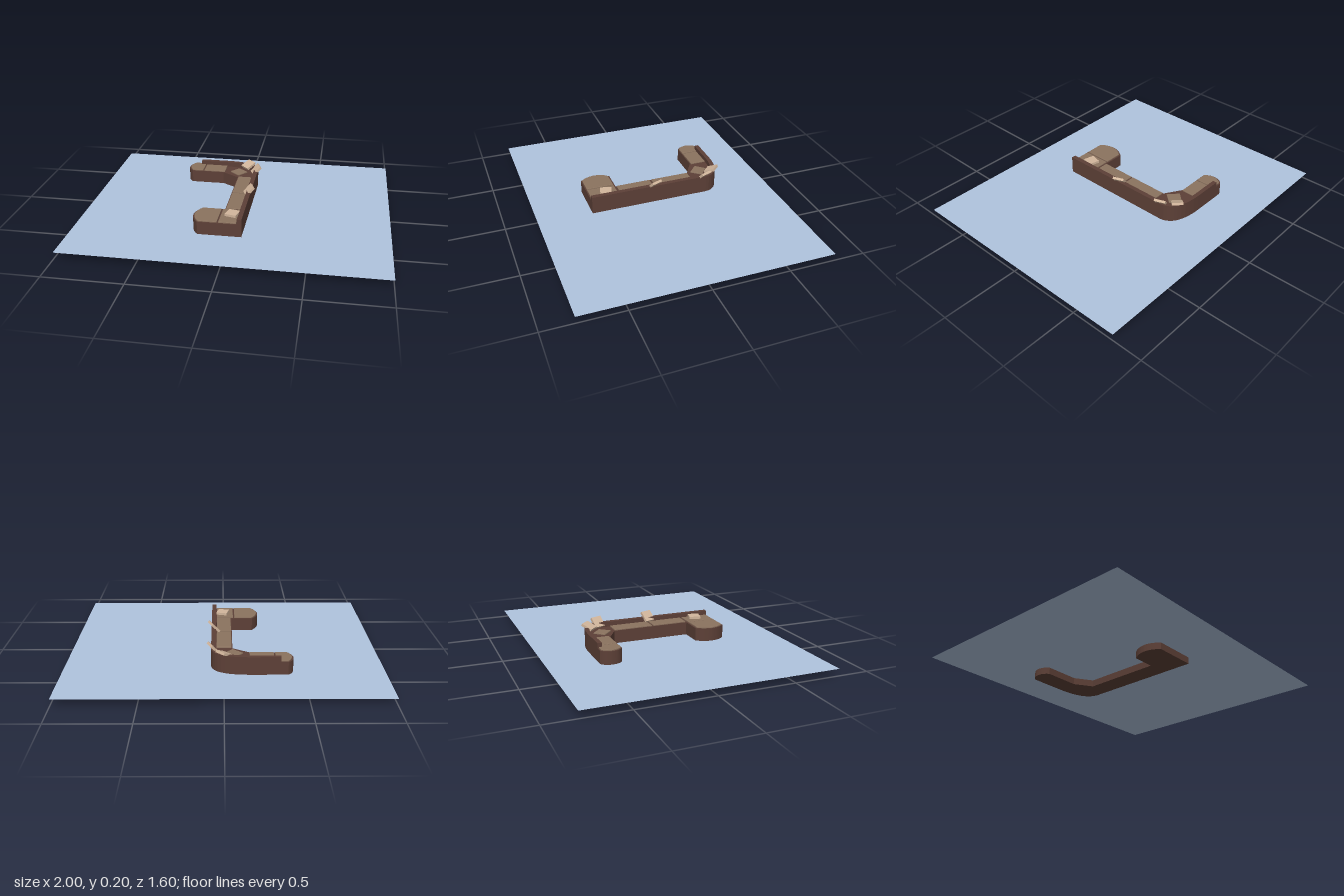
import * as THREE from 'three';

const BROWN = 0x5d4037, SEAT = 0x8b735f, PILLOW = 0xd2b69c, FLOOR = 0xb0c4de;

const mat = (color) => new THREE.MeshStandardMaterial({ color, side: THREE.DoubleSide });

// Shape from plan points [x, z]; a point [x, z, cx, cz] arrives on a curve with control (cx, cz)
function plan(points) {
  const s = new THREE.Shape();
  points.forEach(([x, z, cx, cz], i) => {
    if (i === 0) s.moveTo(x, -z);
    else if (cx !== undefined) s.quadraticCurveTo(cx, -cz, x, -z);
    else s.lineTo(x, -z);
  });
  return s;
}

// Vertical prism over a plan outline, optionally with softened edges
function slab(name, points, y0, y1, color, bevel = 0) {
  const geo = new THREE.ExtrudeGeometry(plan(points), {
    depth: y1 - y0 - 2 * bevel, curveSegments: 10, bevelEnabled: bevel > 0,
    bevelSize: bevel, bevelThickness: bevel, bevelOffset: -bevel, bevelSegments: 2,
  });
  geo.rotateX(-Math.PI / 2);
  geo.translate(0, y0 + bevel, 0);
  const mesh = new THREE.Mesh(geo, mat(color));
  mesh.name = name;
  return mesh;
}

const rect = (x0, x1, z0, z1) => [[x0, z1], [x1, z1], [x1, z0], [x0, z0]];

// Rectangle whose -x end bulges outward
const roundEnd = (x0, x1, z0, z1, r) => [
  [x0 + r, z1], [x1, z1], [x1, z0], [x0 + r, z0],
  [x0, (z0 + z1) / 2, x0 + r * 0.2, z0 + (z1 - z0) * 0.15],
  [x0 + r, z1, x0 + r * 0.2, z1 - (z1 - z0) * 0.15],
];

export function createModel() {
  const model = new THREE.Group();
  model.name = 'sectionalSofa';

  // Floor sheet cutting through the lower part of the base
  const floor = new THREE.Mesh(new THREE.PlaneGeometry(2, 1.6).rotateX(-Math.PI / 2), mat(FLOOR));
  floor.name = 'floor';
  floor.position.y = 0.045;
  model.add(floor);

  // One continuous base: chaise, long run, angled corner and short arm
  model.add(slab('base', [
    [-0.2, 0.44], [0.08, 0.44], [0.08, -0.36],
    [-0.15, -0.485, 0.07, -0.48], [-0.395, -0.485],
    [-0.43, -0.415, -0.43, -0.46], [-0.395, -0.345, -0.43, -0.37],
    [-0.17, -0.345], [-0.055, -0.275], [-0.055, 0.24], [-0.2, 0.24],
    [-0.242, 0.34, -0.24, 0.285], [-0.2, 0.44, -0.24, 0.395],
  ], 0, 0.13, BROWN));

  // Back rest following the outer edge round the corner
  model.add(slab('backRest', [
    [0.05, 0.44], [0.08, 0.44], [0.08, -0.36],
    [-0.15, -0.485, 0.07, -0.48], [-0.35, -0.485], [-0.35, -0.457],
    [-0.15, -0.457], [0.05, -0.35, 0.045, -0.452],
  ], 0.125, 0.163, BROWN));

  // Seat cushions
  const seats = [
    ['chaiseEndCushion', roundEnd(-0.235, -0.076, 0.25, 0.433, 0.04)],
    ['chaiseCushion', rect(-0.067, 0.046, 0.25, 0.433)],
    ['frontRunCushion', rect(-0.05, 0.046, 0.002, 0.235)],
    ['backRunCushion', rect(-0.05, 0.046, -0.272, -0.01)],
    ['armCushion', rect(-0.312, -0.16, -0.455, -0.35)],
    ['armEndCushion', roundEnd(-0.422, -0.32, -0.478, -0.35, 0.03)],
    ['cornerCushion', [[-0.12, -0.36], [-0.055, -0.3], [0, -0.365], [-0.065, -0.42]]],
  ];
  for (const [name, pts] of seats) model.add(slab(name, pts, 0.12, 0.138, SEAT, 0.003));

  // Loose pillows: position, yaw and lean
  const pillows = [
    ['cornerPillow', [0.0, 0.165, -0.43], 0.78, -1.15],
    ['sidePillow', [0.065, 0.165, -0.35], 0.36, -0.75],
    ['middlePillow', [0.065, 0.167, 0.005], 0.36, -0.75],
    ['chaisePillow', [0.005, 0.147, 0.325], -0.25, -Math.PI / 2],
  ];
  for (const [name, pos, yaw, lean] of pillows) {
    const p = new THREE.Mesh(new THREE.BoxGeometry(0.016, 0.075, 0.075), mat(PILLOW));
    p.name = name;
    p.position.set(...pos);
    p.rotation.set(0, yaw, lean, 'YXZ');
    model.add(p);
  }
  return model;
}
